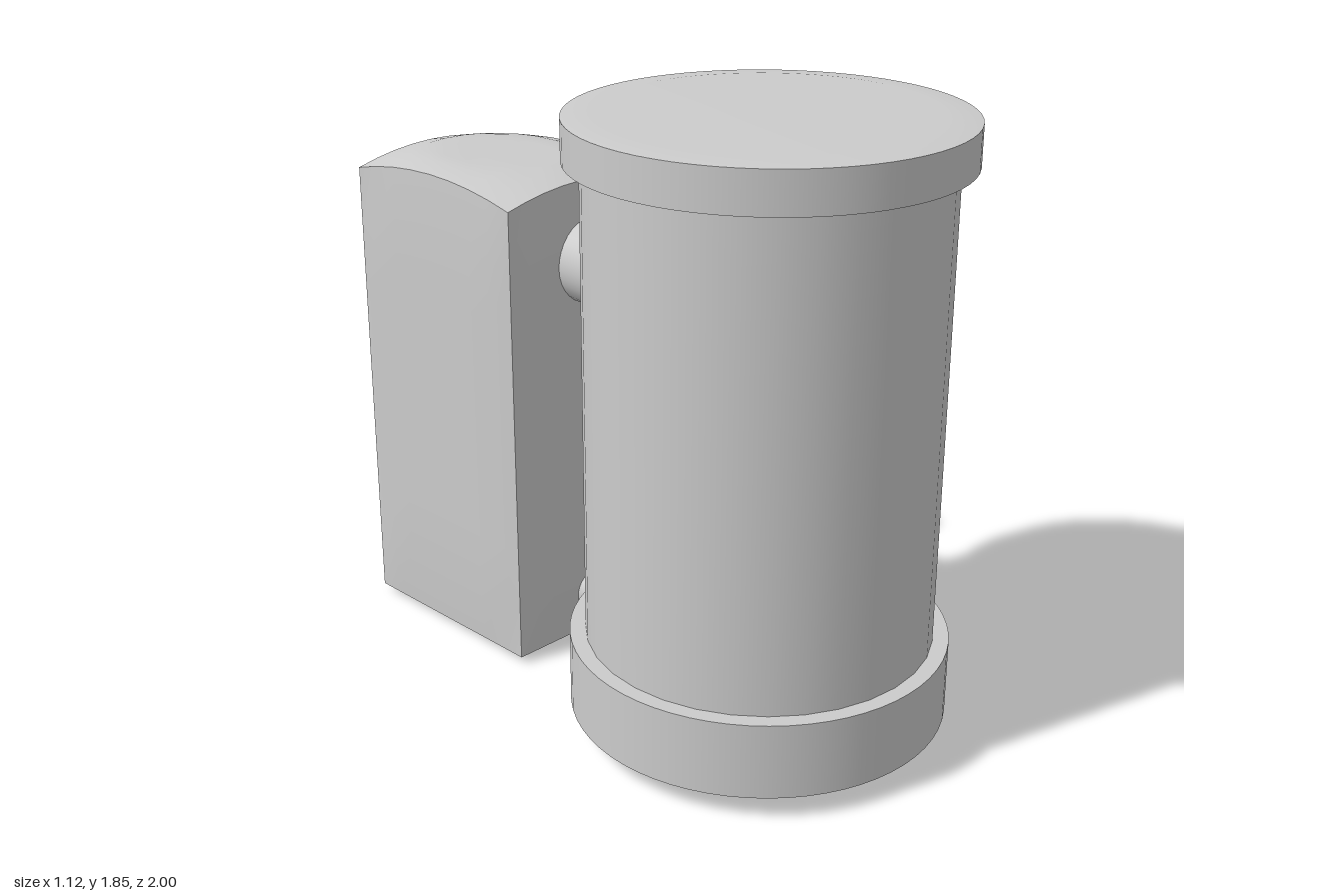
import * as THREE from 'three';

const grey = new THREE.MeshStandardMaterial({ color: 0xcccccc });

export function createModel() {
  const model = new THREE.Group();

  function add(name, geometry, x = 0, y = 0, z = 0, parent = model) {
    const mesh = new THREE.Mesh(geometry, grey);
    mesh.name = name;
    mesh.position.set(x, y, z);
    parent.add(mesh);
    return mesh;
  }

  // 0 in the middle of a face, rising to 1 in its outer quarter
  const rim = (t) => Math.max(0, (Math.abs(t) - 0.75) / 0.25);

  // Unit box whose vertices are moved by a rule; faces stay smooth, edges sharp
  function cushion(rule) {
    const g = new THREE.BoxGeometry(2, 2, 2, 8, 8, 8);
    const p = g.attributes.position;
    for (let i = 0; i < p.count; i++) {
      p.setXYZ(i, ...rule(p.getX(i), p.getY(i), p.getZ(i)));
    }
    g.computeVertexNormals();
    return g;
  }

  // Tank: base ring, body and slightly crowned lid
  const tank = new THREE.Group();
  tank.name = 'tank';
  tank.position.z = 0.435;
  model.add(tank);
  add('tankBase', new THREE.CylinderGeometry(0.56, 0.56, 0.23, 64), 0, 0.185, 0, tank);
  add('tankBody', new THREE.CylinderGeometry(0.513, 0.513, 1.46, 32), 0, 1.01, 0, tank);
  add('lidRim', new THREE.CylinderGeometry(0.562, 0.562, 0.12, 64), 0, 1.78, 0, tank);
  const crown = [[0.562, 0], [0.47, 0.01], [0, 0.01]].map((q) => new THREE.Vector2(...q));
  add('lidCrown', new THREE.LatheGeometry(crown, 64), 0, 1.84, 0, tank);

  // Control housing: domed top, shallow chamfered bottom, sides drawn in at the edges
  add('controlHousing', cushion((x, y, z) => {
    const top = Math.min(1.547, 1.485 + 0.045 * (1 - z * z) + 0.04 * (1 - x * x));
    const bottom = 0.022 * Math.max(rim(x), rim(z));
    return [
      x * (0.295 - 0.01 * Math.max(rim(y), rim(z))),
      bottom + (top - bottom) * (y + 1) / 2,
      z * (0.365 - 0.01 * Math.max(rim(y), rim(x))),
    ];
  }), -0.032, 0, -0.635);

  // Bulging display panel on the +x side
  const panel = new THREE.Group();
  panel.name = 'controlPanel';
  panel.position.x = 0.25;
  model.add(panel);
  add('screen', cushion((x, y, z) => {
    const front = 0.045 + 0.016 * (1 - Math.max(y * y, z * z)) - 0.012 * Math.max(rim(y) === 1, rim(z) === 1);
    const inset = x > 0.9 ? 0.012 : 0;
    return [front * (x + 1) / 2, y * (0.298 - inset), z * (0.296 - inset)];
  }), 0, 1.166, -0.628, panel);

  // Round controls lie along x; each has a chamfered cap
  function control(name, radius, depth, y, z) {
    const g = new THREE.Group();
    g.name = name;
    g.position.set(0, y, z);
    g.rotation.z = -Math.PI / 2;
    const cap = 0.008;
    add(name + 'Barrel', new THREE.CylinderGeometry(radius, radius, depth - cap, 32), 0, (depth - cap) / 2, 0, g);
    add(name + 'Cap', new THREE.CylinderGeometry(radius * 0.9, radius, cap, 32), 0, depth - cap / 2, 0, g);
    panel.add(g);
  }
  for (let i = 0; i < 5; i++) control('button', 0.041, 0.045, 0.8, -0.385 - i * 0.115);
  control('knob', 0.077, 0.077, 0.636, -0.617);
  for (const z of [-0.5, -0.73]) control('smallButton', 0.027, 0.03, 0.635, z);

  // Pipes joining the tank to the housing
  function pipe(name, frontRadius, backRadius, y, zFront, zBack) {
    const g = new THREE.CylinderGeometry(frontRadius, backRadius, zFront - zBack, 32);
    g.rotateX(Math.PI / 2);
    add(name, g, 0, y, (zFront + zBack) / 2);
  }
  pipe('upperPipe', 0.145, 0.132, 1.275, 0.0, -0.3);
  pipe('lowerPipe', 0.076, 0.076, 0.155, -0.05, -0.3);

  return model;
}
